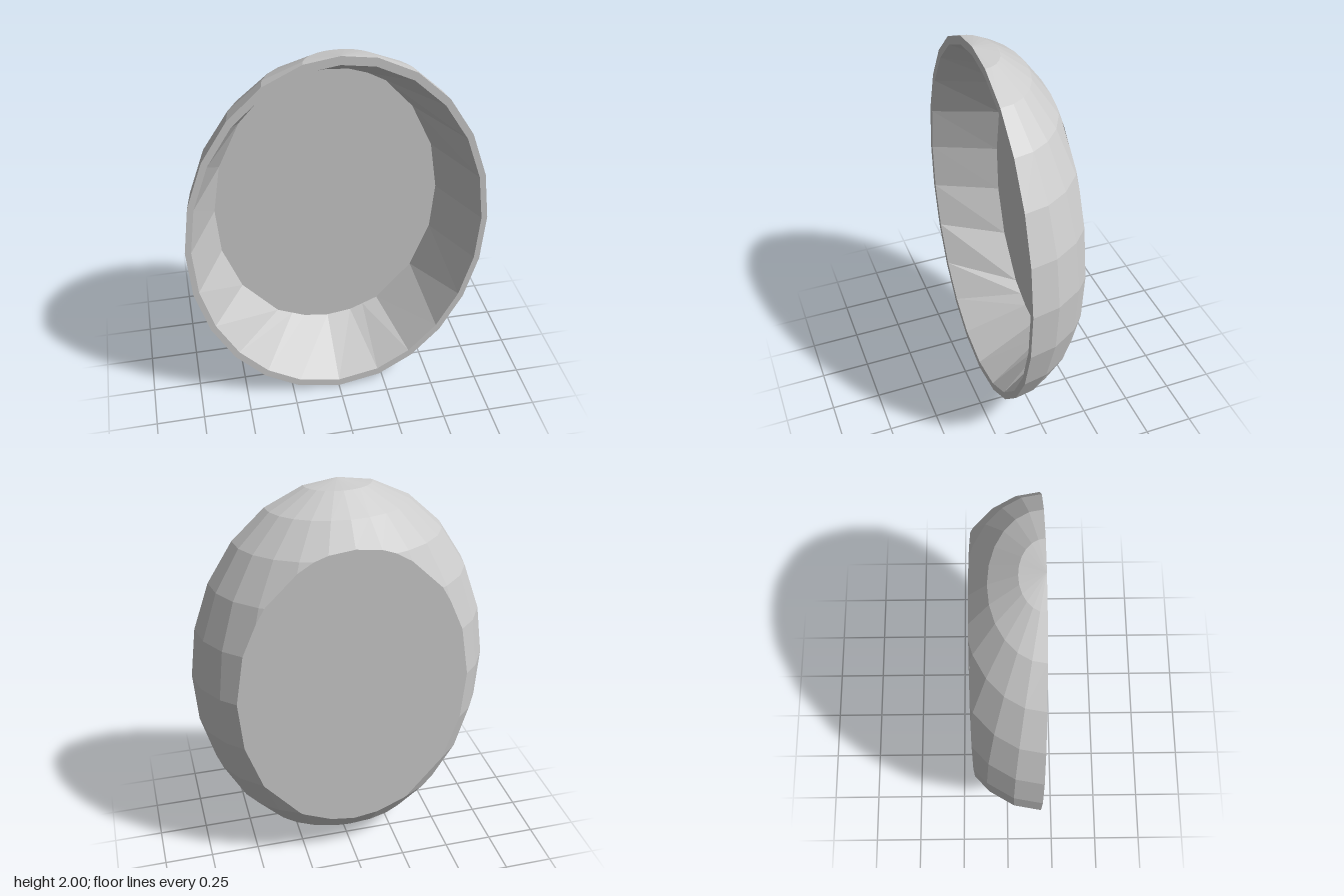
import * as THREE from 'three';

const FRONT = 0.165, BACK = -0.165, FLOOR = -0.16;
const RX = 0.755, RY = 1, RZ = 0.53, SEG = 12;
const V = (x, y, z) => new THREE.Vector3(x, y, z);

// Flat-shaded mesh from convex polygons, each split into a fan of triangles
function facets(name, polygons) {
  const pos = [];
  for (const p of polygons) {
    for (let i = 1; i < p.length - 1; i++) {
      const tri = new THREE.Triangle(p[0], p[i], p[i + 1]);
      if (tri.getArea() < 1e-7) continue;
      for (const v of [tri.a, tri.b, tri.c]) pos.push(v.x, v.y, v.z);
    }
  }
  const geo = new THREE.BufferGeometry();
  geo.setAttribute('position', new THREE.Float32BufferAttribute(pos, 3));
  geo.computeVertexNormals();
  const mesh = new THREE.Mesh(geo, new THREE.MeshStandardMaterial({ color: 0xcccccc, flatShading: true }));
  mesh.name = name;
  return mesh;
}

// Polar angle of each horizontal ring; the rings sit slightly high
const polar = (k) => (k === 0 ? 0 : k === SEG ? Math.PI : THREE.MathUtils.degToRad(15 * k - 2.2));

// Point on the half ellipsoid behind the front plane
function shellPoint(k, j) {
  const phi = polar(k), theta = (Math.PI * j) / SEG;
  return V(-RX * Math.sin(phi) * Math.cos(theta), 1 + RY * Math.cos(phi),
    FRONT - RZ * Math.sin(phi) * Math.sin(theta));
}

// Keep the part of a polygon in front of the back plane, noting the cut points
function clip(poly, cuts) {
  const out = [];
  poly.forEach((a, i) => {
    const b = poly[(i + 1) % poly.length];
    if (a.z >= BACK) out.push(a);
    if ((a.z >= BACK) !== (b.z >= BACK)) {
      const c = a.clone().lerp(b, (BACK - a.z) / (b.z - a.z));
      out.push(c);
      cuts.push(c);
    }
  });
  return out;
}

// Closed outline from its +x half, listed top to bottom
const mirrored = (half) => [...half, ...half.slice(1, -1).reverse().map((p) => V(-p.x, p.y, p.z))];

// Band of quads between an inner and an outer outline, facing the front
const band = (inner, outer) => inner.map((p, i) => {
  const n = (i + 1) % inner.length;
  return [p, inner[n], outer[n], outer[i]];
});

// Fan around a centre point; outline order decides the facing
const fan = (outline, z) => outline.map((p, i) => [V(0, 1, z), outline[(i + 1) % outline.length], p]);

export function createModel() {
  const group = new THREE.Group();
  group.name = 'ovalTray';

  // Faceted outer wall, cut flat at the back
  const cuts = [], wall = [];
  for (let k = 0; k < SEG; k++) {
    for (let j = 0; j < SEG; j++) {
      wall.push(clip([shellPoint(k, j), shellPoint(k, j + 1), shellPoint(k + 1, j + 1), shellPoint(k + 1, j)], cuts));
    }
  }
  group.add(facets('outerWall', wall));

  // Flat back panel filling the cut
  const angle = (p) => Math.atan2(p.y - 1, p.x);
  cuts.sort((a, b) => angle(a) - angle(b));
  group.add(facets('backPanel', fan(cuts, BACK)));

  // Narrow flat front rim
  const outer = mirrored(Array.from({ length: SEG + 1 }, (_, k) => shellPoint(k, SEG)));
  const inner = outer.map((p) => V(p.x * 0.96, 1 + (p.y - 1) * 0.957, FRONT));
  group.add(facets('rim', band(inner, outer)));

  // Sloping inner wall and flat floor
  const floor = mirrored([
    [0, 1.775], [0.11, 1.765], [0.2, 1.735], [0.29, 1.685], [0.43, 1.53], [0.54, 1.295], [0.58, 1.035],
    [0.56, 0.78], [0.465, 0.53], [0.28, 0.32], [0.2, 0.285], [0.13, 0.255], [0, 0.237],
  ].map(([x, y]) => V(x, y, FLOOR)));
  group.add(facets('innerWall', band(floor, inner)));
  group.add(facets('floor', fan(floor, FLOOR)));

  return group;
}
